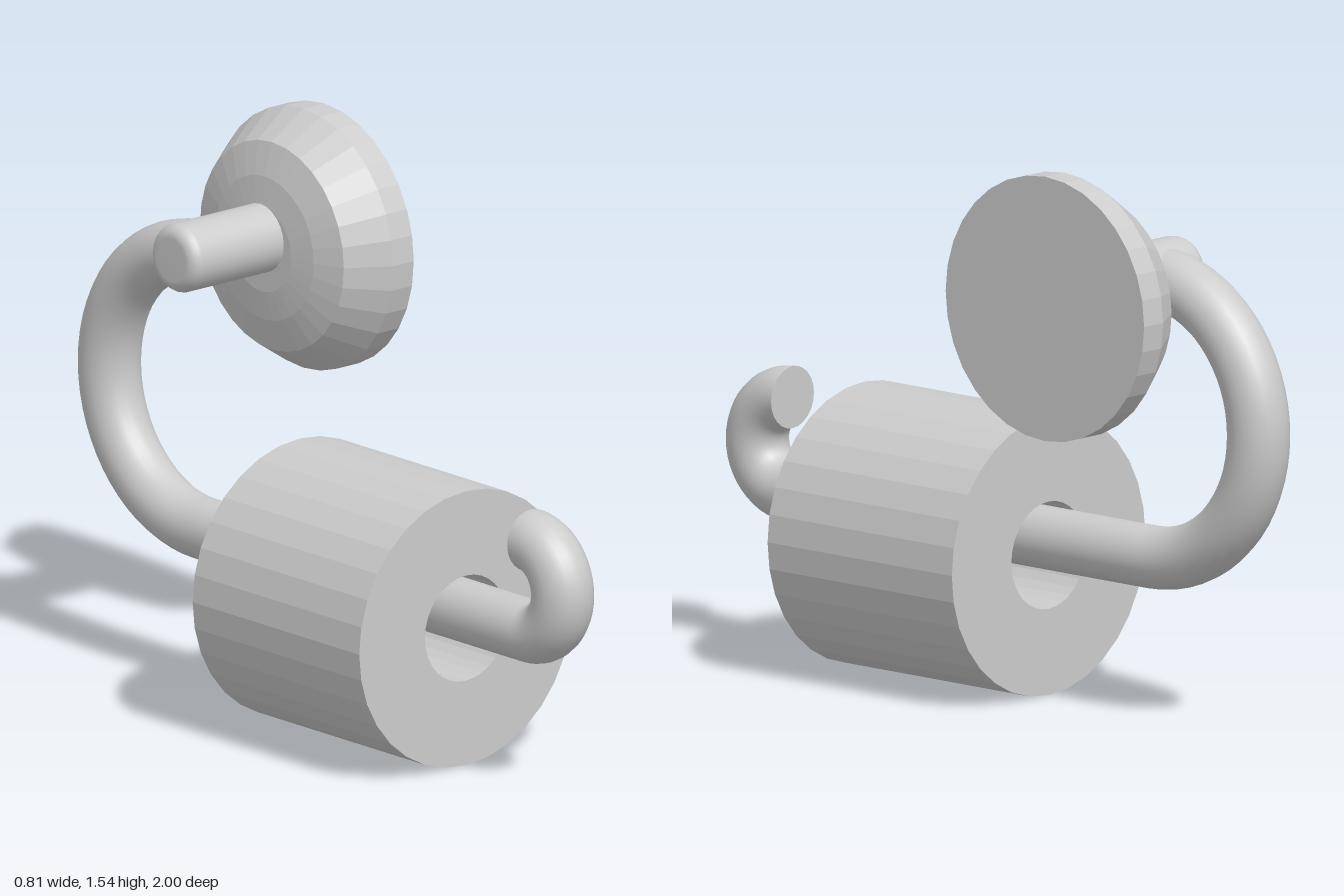
import * as THREE from 'three';

const SMOOTH = new THREE.MeshStandardMaterial({ color: 0xcccccc });
const FACETED = new THREE.MeshStandardMaterial({ color: 0xcccccc, flatShading: true });

const ROD_X = -0.023, ROD_Y = 0.435, ROD_R = 0.085;
const HOOK_Z = 0.785, HOOK_R = 0.128;
const BEND_Z = -0.53, BEND_R = 0.385;

export function createModel() {
  const group = new THREE.Group();

  const add = (name, geometry, material, x, y, z) => {
    const mesh = new THREE.Mesh(geometry, material);
    mesh.name = name;
    mesh.position.set(x, y, z);
    group.add(mesh);
  };
  const lathe = (points, sides) =>
    new THREE.LatheGeometry(points.map(([r, h]) => new THREE.Vector2(r, h)), sides);
  // Half ring in the YZ plane, bulging forward (dir 1) or backward (dir -1)
  const halfRing = (radius, dir, steps) =>
    new THREE.TorusGeometry(radius, ROD_R, 24, steps, Math.PI)
      .rotateZ(-dir * Math.PI / 2).rotateY(-Math.PI / 2);

  // Paper roll: thick hollow cylinder lying along z
  const rollR = 0.383, coreR = 0.147, half = 0.336;
  const roll = lathe([[coreR, -half], [rollR, -half], [rollR, half], [coreR, half], [coreR, -half]], 32);
  add('paperRoll', roll.rotateX(Math.PI / 2), FACETED, -0.024, 0.387, 0.188);

  // Straight rod through the roll
  const rod = new THREE.CylinderGeometry(ROD_R, ROD_R, HOOK_Z - BEND_Z, 24, 1, true);
  add('rod', rod.rotateX(Math.PI / 2), SMOOTH, ROD_X, ROD_Y, (HOOK_Z + BEND_Z) / 2);

  // Curled front hook with its flat end
  add('frontHook', halfRing(HOOK_R, 1, 24), SMOOTH, ROD_X, ROD_Y + HOOK_R, HOOK_Z);
  add('hookEnd', new THREE.CircleGeometry(ROD_R, 24).rotateY(Math.PI), SMOOTH,
    ROD_X, ROD_Y + 2 * HOOK_R, HOOK_Z);

  // Large rear bend rising into the wall post
  add('rearBend', halfRing(BEND_R, -1, 32), SMOOTH, ROD_X, ROD_Y + BEND_R, BEND_Z);

  // Wall post along x with a rounded free end
  const postR = 0.095, fillet = 0.035;
  const postProfile = [[0, -0.14]];
  for (let i = 0; i <= 5; i++) {
    const a = (i / 5) * Math.PI / 2;
    postProfile.push([postR - fillet * (1 - Math.sin(a)), -0.14 + fillet * (1 - Math.cos(a))]);
  }
  postProfile.push([postR, 0.22]);
  add('wallPost', lathe(postProfile, 24).rotateZ(-Math.PI / 2), SMOOTH, 0, 1.207, -0.535);

  // Stepped round wall plate facing sideways
  const plate = lathe([[0, 0.18], [0.12, 0.18], [0.2, 0.19], [0.29, 0.218],
    [0.362, 0.33], [0.362, 0.405], [0, 0.405]], 32);
  add('wallPlate', plate.rotateZ(-Math.PI / 2), FACETED, 0, 1.178, -0.53);

  return group;
}
